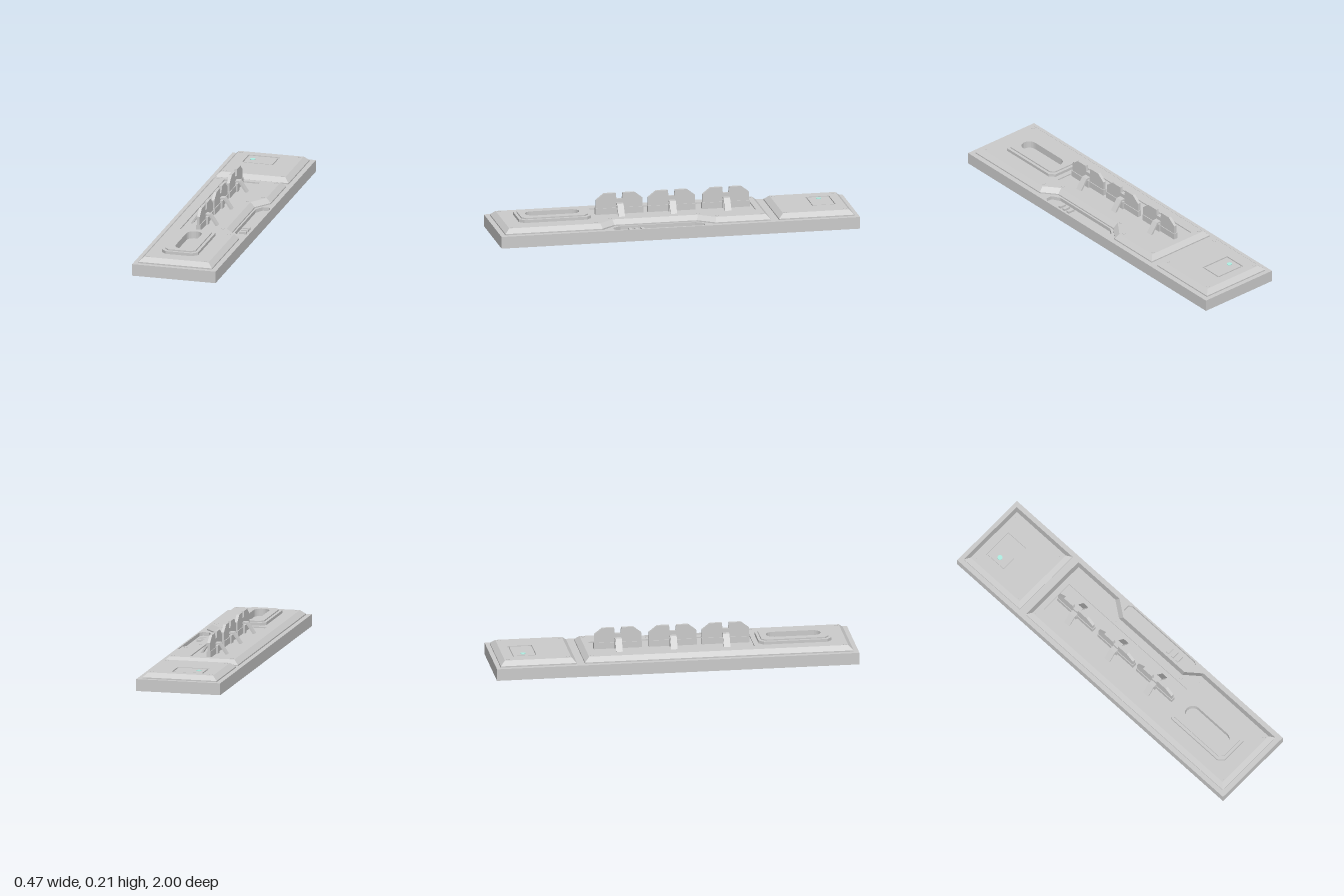
import * as THREE from 'three';

const grey = new THREE.MeshStandardMaterial({ color: 0xcccccc, flatShading: true });
const pale = new THREE.MeshStandardMaterial({ color: 0xf0f0f0 });
const mint = new THREE.MeshStandardMaterial({ color: 0xb0f0e4 });

// Outlines are counter-clockwise seen from above; plan y is -z.
const plan = (pairs) => {
  const pts = pairs.map(([x, z]) => new THREE.Vector2(x, -z));
  return THREE.ShapeUtils.isClockWise(pts) ? pts.reverse() : pts;
};

// Rectangle in plan, optionally with cut corners
function rect(x0, x1, z0, z1, c = 0) {
  if (!c) return plan([[x0, z0], [x1, z0], [x1, z1], [x0, z1]]);
  return plan([[x0 + c, z0], [x1 - c, z0], [x1, z0 + c], [x1, z1 - c],
    [x1 - c, z1], [x0 + c, z1], [x0, z1 - c], [x0, z0 + c]]);
}

// Rounded slot in plan
function slot(cx, r, z0, z1) {
  const pairs = [];
  for (let i = 0; i <= 10; i++) {
    const a = Math.PI * i / 10;
    pairs.push([cx + r * Math.cos(a), z1 - r + r * Math.sin(a)]);
  }
  for (let i = 0; i <= 10; i++) {
    const a = Math.PI * (1 + i / 10);
    pairs.push([cx + r * Math.cos(a), z0 + r + r * Math.sin(a)]);
  }
  return plan(pairs);
}

function mesh(geometry, name, parent, material = grey) {
  const m = new THREE.Mesh(geometry, material);
  m.name = name;
  parent.add(m);
  return m;
}

// Wall joining two outlines at two heights
function band(a, ya, b, yb) {
  const p = [];
  a.forEach((_, i) => {
    const j = (i + 1) % a.length;
    const A = [a[i].x, ya, -a[i].y], B = [a[j].x, ya, -a[j].y];
    const C = [b[j].x, yb, -b[j].y], D = [b[i].x, yb, -b[i].y];
    p.push(...A, ...B, ...C, ...A, ...C, ...D);
  });
  const g = new THREE.BufferGeometry();
  g.setAttribute('position', new THREE.Float32BufferAttribute(p, 3));
  g.computeVertexNormals();
  return g;
}

function cap(outline, y, holes = []) {
  const s = new THREE.Shape(outline);
  holes.forEach((h) => s.holes.push(new THREE.Path(h)));
  return new THREE.ShapeGeometry(s).rotateX(-Math.PI / 2).translate(0, y, 0);
}

// Plate stacked from [outline, height] levels, with pockets [outline, floor height, floor material]
function plate(name, levels, pockets, parent) {
  const g = new THREE.Group();
  g.name = name;
  parent.add(g);
  for (let i = 1; i < levels.length; i++) mesh(band(...levels[i - 1], ...levels[i]), name + 'Side', g);
  const [top, y] = levels[levels.length - 1];
  mesh(cap(top, y, pockets.map((p) => p[0])), name + 'Top', g);
  for (const [outline, floor, material] of pockets) {
    const inward = [...outline].reverse();
    mesh(band(inward, floor, inward, y), name + 'PocketWall', g);
    mesh(cap(outline, floor), name + 'PocketFloor', g, material);
  }
  return g;
}

function box(name, w, h, d, x, y, z, parent) {
  mesh(new THREE.BoxGeometry(w, h, d), name, parent).position.set(x, y, z);
}

// Profile extruded to a thickness centred on its plane
function slab(pairs, t) {
  const s = new THREE.Shape(pairs.map(([x, y]) => new THREE.Vector2(x, y)));
  return new THREE.ExtrudeGeometry(s, { depth: t, bevelEnabled: false }).translate(0, 0, -t / 2);
}

export function createModel() {
  const root = new THREE.Group();
  root.name = 'mountedPanel';

  // Base block with a side pocket
  const baseOutline = rect(-0.237, 0.237, -1, 1);
  const sidePocket = plan([[0.228, -0.12], [0.215, -0.14], [0.18, -0.14], [0.153, -0.095],
    [0.153, 0.32], [0.18, 0.366], [0.215, 0.366], [0.228, 0.346]]);
  plate('base', [[baseOutline, 0], [baseOutline, 0.066]], [[sidePocket, 0.046]], root);
  mesh(new THREE.PlaneGeometry(0.474, 2).rotateX(Math.PI / 2), 'baseUnderside', root);
  for (let i = 0; i < 3; i++) box('pocketRib', 0.04, 0.012, 0.018, 0.185, 0.052, 0.2 + i * 0.035, root);

  // Rear cover with a framed window
  const rearLow = rect(-0.21, 0.208, -0.975, -0.555);
  const rearHigh = rect(-0.184, 0.182, -0.949, -0.581);
  plate('rearCover', [[rearLow, 0.066], [rearLow, 0.073], [rearHigh, 0.097]],
    [[rect(-0.116, 0.063, -0.9, -0.765), 0.09]], root);
  const window_ = rect(-0.107, 0.054, -0.891, -0.774);
  plate('windowPanel', [[window_, 0.09], [window_, 0.096]], [], root);
  mesh(new THREE.CylinderGeometry(0.014, 0.014, 0.004, 20), 'indicatorLight', root, mint)
    .position.set(-0.074, 0.097, -0.833);

  // Main cover, notched beside the pocket
  const mainLow = plan([[-0.21, -0.51], [0.208, -0.51], [0.208, -0.2], [0.143, -0.11],
    [0.143, 0.35], [0.208, 0.43], [0.208, 0.972], [-0.21, 0.972]]);
  const mainHigh = plan([[-0.184, -0.484], [0.182, -0.484], [0.182, -0.208], [0.117, -0.118],
    [0.117, 0.358], [0.182, 0.438], [0.182, 0.946], [-0.184, 0.946]]);
  const grip = slot(-0.011, 0.043, 0.516, 0.818);
  plate('mainCover', [[mainLow, 0.066], [mainLow, 0.073], [mainHigh, 0.097]],
    [[rect(-0.127, 0.074, -0.452, 0.437), 0.09], [grip, 0.08, pale]], root);

  // Raised surround of the rounded slot
  const rimLow = rect(-0.112, 0.092, 0.465, 0.868, 0.027);
  const rimHigh = rect(-0.096, 0.076, 0.481, 0.852, 0.022);
  plate('slotSurround', [[rimLow, 0.097], [rimLow, 0.113], [rimHigh, 0.113], [rimHigh, 0.12]],
    [[grip, 0.08, pale]], root);

  // Three upright notched blades, each held by a bent strap
  const blade = slab([[-0.13, 0.12], [0.13, 0.12], [0.13, 0.172], [0.085, 0.207], [0.02, 0.207],
    [0.016, 0.174], [-0.016, 0.174], [-0.02, 0.207], [-0.085, 0.207], [-0.13, 0.172]], 0.016)
    .rotateY(Math.PI / 2);
  const strap = slab([[-0.076, 0.09], [-0.034, 0.152], [0.034, 0.152], [0.076, 0.09],
    [0.064, 0.09], [0.028, 0.143], [-0.028, 0.143], [-0.064, 0.09]], 0.036);
  for (const z of [-0.304, -0.001, 0.29]) {
    const holder = new THREE.Group();
    holder.name = 'bladeHolder';
    holder.position.set(-0.026, 0, z);
    mesh(blade, 'blade', holder);
    mesh(strap, 'strap', holder);
    box('bladeFoot', 0.024, 0.035, 0.266, 0, 0.1075, 0, holder);
    box('bladeClip', 0.045, 0.045, 0.036, 0, 0.1125, 0, holder);
    root.add(holder);
  }

  // Screw heads near the cover corners
  const screws = [[0.16, -0.22], [0.1, -0.125], [0.1, 0.365], [0.16, 0.455]];
  for (const x of [-0.167, 0.165]) for (const z of [-0.932, -0.598, -0.467, 0.929]) screws.push([x, z]);
  const head = new THREE.CylinderGeometry(0.01, 0.01, 0.004, 12);
  for (const [x, z] of screws) mesh(head, 'screw', root).position.set(x, 0.097, z);

  return root;
}
